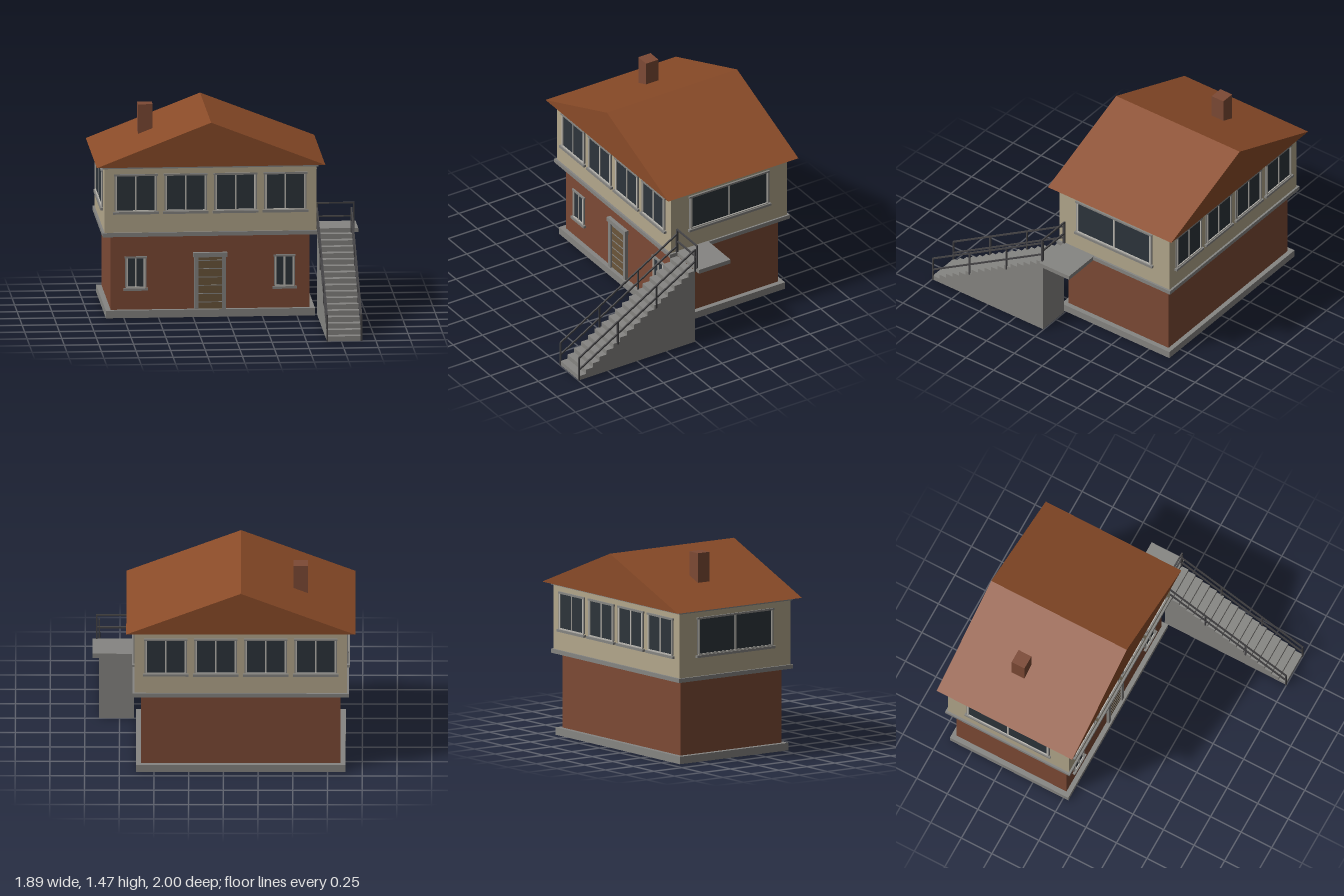
import * as THREE from 'three';

const mat = (name, color) => {
  const m = new THREE.MeshStandardMaterial({ color });
  m.name = name;
  return m;
};

export function createModel() {
  const brick = mat('brick', 0x7d4a35), roofTile = mat('roof tile', 0x8a4b28);
  const plaster = mat('plaster', 0xb3a78c), concrete = mat('concrete', 0x868582);
  const glass = mat('dark glass', 0x2d343b), frameMat = mat('window frame', 0xbab7b0);
  const metal = mat('railing metal', 0x454446), wood = mat('door wood', 0x6b563a);

  const model = new THREE.Group();
  model.name = 'house';

  // Box given by its extents along x, y and z
  const box = (parent, name, m, x0, x1, y0, y1, z0, z1) => {
    const mesh = new THREE.Mesh(new THREE.BoxGeometry(x1 - x0, y1 - y0, z1 - z0), m);
    mesh.position.set((x0 + x1) / 2, (y0 + y1) / 2, (z0 + z1) / 2);
    mesh.name = name;
    parent.add(mesh);
    return mesh;
  };
  const group = (name, parent = model) => {
    const g = new THREE.Group();
    g.name = name;
    parent.add(g);
    return g;
  };

  // House body, centred on its own axis
  const house = group('houseBody');
  house.position.set(-0.125, 0, -0.445);
  const storey = (name, m, halfX, halfZ, y0, y1) =>
    box(house, name, m, -halfX, halfX, y0, y1, -halfZ, halfZ);
  storey('plinth', concrete, 0.755, 0.485, 0, 0.055);
  storey('lowerWalls', brick, 0.718, 0.45, 0.055, 0.6);
  storey('floorSlab', concrete, 0.78, 0.51, 0.6, 0.63);
  storey('upperWalls', plaster, 0.765, 0.495, 0.63, 1.1);
  storey('eavesTrim', concrete, 0.78, 0.51, 1.1, 1.12);

  // Gabled roof with closed ends
  const gable = new THREE.Shape([[-0.825, 1.118], [0.825, 1.118], [0, 1.44]].map(p => new THREE.Vector2(...p)));
  const roof = new THREE.Mesh(new THREE.ExtrudeGeometry(gable, { depth: 1.11, bevelEnabled: false }), roofTile);
  roof.position.z = -0.555;
  roof.name = 'roof';
  house.add(roof);
  box(model, 'chimney', brick, -0.61, -0.505, 1.15, 1.467, -0.57, -0.465);

  // Two-pane window facing +z, centred on x = 0, wall plane at z = 0
  const makeWindow = (name, w, y0, y1, parent) => {
    const g = group(name, parent), h = w / 2, t = 0.011;
    box(g, 'glass', glass, -h, h, y0, y1, -0.002, 0.004);
    for (const s of [-1, 1]) {
      const c = s * (h + t / 2);
      box(g, 'sideFrame', frameMat, c - t / 2, c + t / 2, y0, y1, -0.002, 0.012);
      const e = s * (h + t + 0.004);
      box(g, 'casing', concrete, e - 0.004, e + 0.004, y0, y1 + 0.012, -0.002, 0.009);
    }
    box(g, 'mullion', frameMat, -t / 2, t / 2, y0, y1, 0, 0.009);
    box(g, 'bottomFrame', frameMat, -h - t, h + t, y0 - 0.006, y0 + 0.004, 0, 0.012);
    box(g, 'lintel', concrete, -h - t - 0.012, h + t + 0.012, y1, y1 + 0.014, -0.002, 0.013);
    box(g, 'sill', concrete, -h - 0.03, h + 0.03, y0 - 0.024, y0 - 0.006, -0.002, 0.02);
    return g;
  };

  // Upper windows: four on the front and back, one on each side
  for (const [side, angle] of [['front', 0], ['back', Math.PI]]) {
    const row = group(side + 'Windows', house);
    row.rotation.y = angle;
    for (let i = 0; i < 4; i++)
      makeWindow('upperWindow', 0.27, 0.79, 1.045, row).position.set(-0.54 + i * 0.36, 0, 0.495);
  }
  for (const s of [-1, 1]) {
    const g = makeWindow('sideWindow', 0.64, 0.79, 1.045, house);
    g.rotation.y = s * Math.PI / 2;
    g.position.x = s * 0.765;
    // Small lower front windows
    makeWindow('lowerWindow', 0.115, 0.22, 0.432, house).position.set(s * 0.537, 0, 0.45);
  }

  // Front door with framed surround and cross slats
  const door = group('door', house);
  door.position.z = 0.45;
  box(door, 'doorLeaf', wood, -0.085, 0.085, 0.055, 0.435, -0.002, 0.006);
  for (let i = 0; i < 6; i++) {
    const y = 0.105 + i * 0.061;
    box(door, 'doorSlat', concrete, -0.085, 0.085, y - 0.003, y + 0.003, 0, 0.009);
  }
  for (const s of [-1, 1])
    box(door, 'doorJamb', concrete, s * 0.1 - 0.015, s * 0.1 + 0.015, 0.055, 0.437, -0.002, 0.022);
  box(door, 'doorLintel', concrete, -0.123, 0.123, 0.437, 0.47, -0.002, 0.03);

  // Solid staircase from a stepped side profile
  const steps = 17, run = 0.99 / steps, rise = 0.6 / steps;
  const profile = new THREE.Shape().moveTo(0.005, 0).lineTo(0.995, 0);
  for (let i = 0; i < steps; i++) {
    profile.lineTo(0.995 - i * run, (i + 1) * rise);
    profile.lineTo(0.995 - (i + 1) * run, (i + 1) * rise);
  }
  const stairs = new THREE.Mesh(new THREE.ExtrudeGeometry(profile, { depth: 0.25, bevelEnabled: false }), concrete);
  stairs.rotation.y = -Math.PI / 2;
  stairs.position.x = 0.897;
  stairs.name = 'stairs';
  model.add(stairs);
  box(model, 'landing', concrete, 0.59, 0.945, 0.599, 0.631, -0.265, 0.003);

  // Straight square bar between two points
  const railing = group('railing');
  const bar = (name, a, b, t = 0.011) => {
    const from = new THREE.Vector3(...a), to = new THREE.Vector3(...b);
    const mesh = new THREE.Mesh(new THREE.BoxGeometry(t, t, from.distanceTo(to)), metal);
    mesh.position.copy(from).add(to).multiplyScalar(0.5);
    mesh.lookAt(to);
    mesh.name = name;
    railing.add(mesh);
  };
  for (const x of [0.648, 0.896]) {
    for (const y of [0.19, 0.09]) bar('stairRail', [x, y, 0.995], [x, y + 0.59, 0.005]);
    for (let i = 0; i < 4; i++)
      bar('stairPost', [x, i * 0.197, 0.995 - i * 0.33], [x, 0.19 + i * 0.197, 0.995 - i * 0.33]);
  }

  // Railing at the landing edge
  for (const y of [0.72, 0.817]) bar('landingRail', [0.643, y, 0], [0.918, y, 0]);
  for (const x of [0.648, 0.913]) bar('landingPost', [x, 0.625, 0], [x, 0.822, 0]);

  return model;
}
